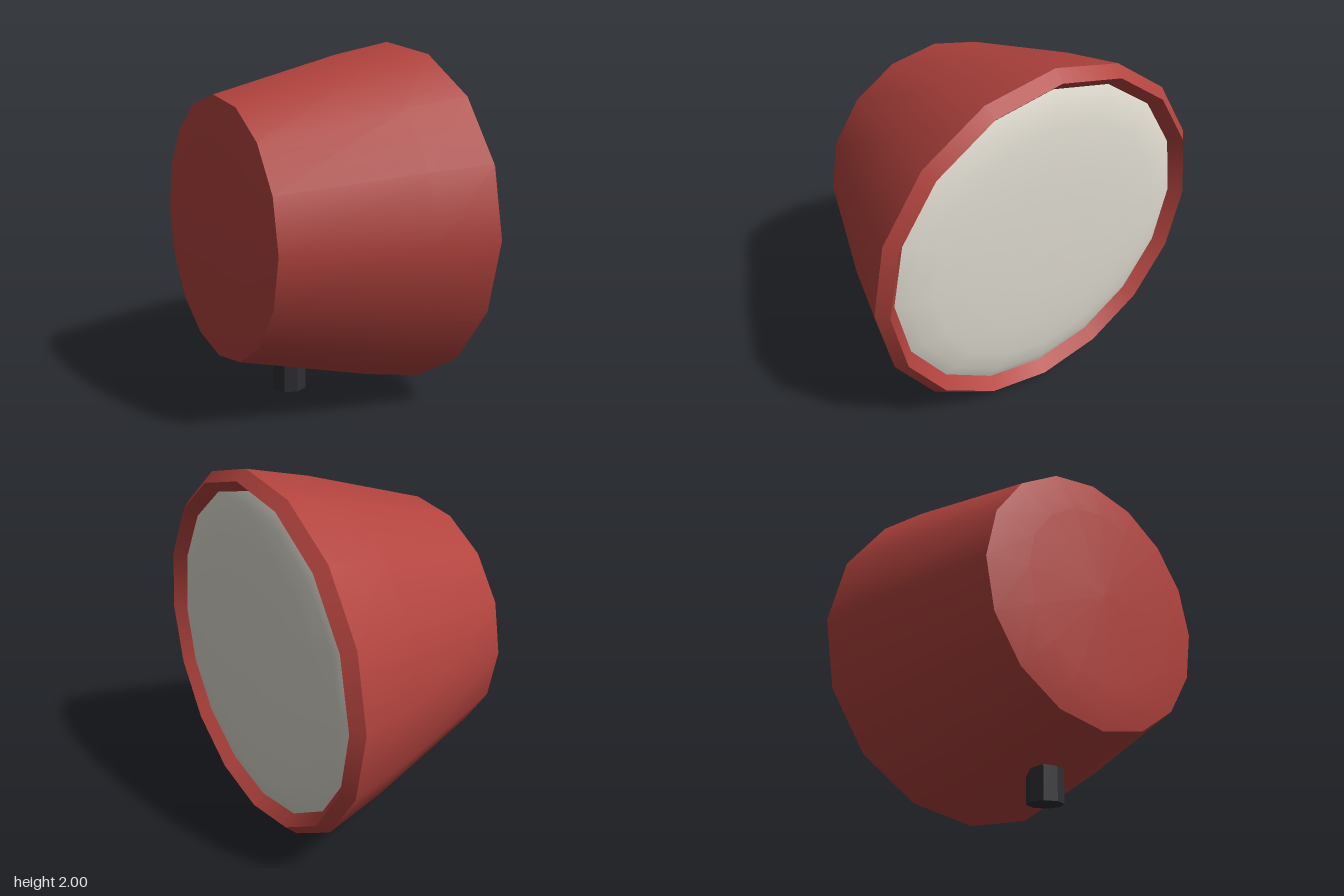
import * as THREE from 'three';

const SIDES = 16;

// Surface of revolution around the x axis; profile points are [radius, x], back to front
function turned(name, profile, material) {
  const points = profile.map(([r, x]) => new THREE.Vector2(r, x));
  const geometry = new THREE.LatheGeometry(points, SIDES);
  geometry.rotateZ(-Math.PI / 2);
  const mesh = new THREE.Mesh(geometry, material);
  mesh.name = name;
  mesh.position.y = 1;
  return mesh;
}

export function createModel() {
  const red = new THREE.MeshStandardMaterial({ color: 0xb2433e });
  red.name = 'red paint';
  const glass = new THREE.MeshStandardMaterial({ color: 0xdedacf });
  glass.name = 'pale glass';
  const dark = new THREE.MeshStandardMaterial({ color: 0x2e2e34 });
  dark.name = 'dark metal';

  const model = new THREE.Group();
  model.name = 'lamp';

  // Housing: separate sections keep the edges between them sharp
  const housing = new THREE.Group();
  housing.name = 'housing';
  housing.add(
    turned('backCap', [[0, -0.61], [0.5, -0.61], [0.715, -0.56]], red),
    turned('shell', [[0.715, -0.56], [0.925, 0.19], [1, 0.54]], red),
    turned('rimOuter', [[1, 0.54], [0.945, 0.595]], red),
    turned('rimInner', [[0.945, 0.595], [0.89, 0.53]], red),
  );
  model.add(housing);

  // Domed lens
  model.add(turned('lens', [
    [0.89, 0.53], [0.82, 0.56], [0.7, 0.583], [0.5, 0.6], [0.25, 0.608], [0, 0.61],
  ], glass));

  // Mounting stud below the housing
  const studMaterial = dark;
  studMaterial.flatShading = true;
  const stud = new THREE.Mesh(new THREE.CylinderGeometry(0.098, 0.098, 0.3, 8), studMaterial);
  stud.name = 'mountingStud';
  stud.position.set(-0.118, 0.16, 0);
  model.add(stud);

  return model;
}
